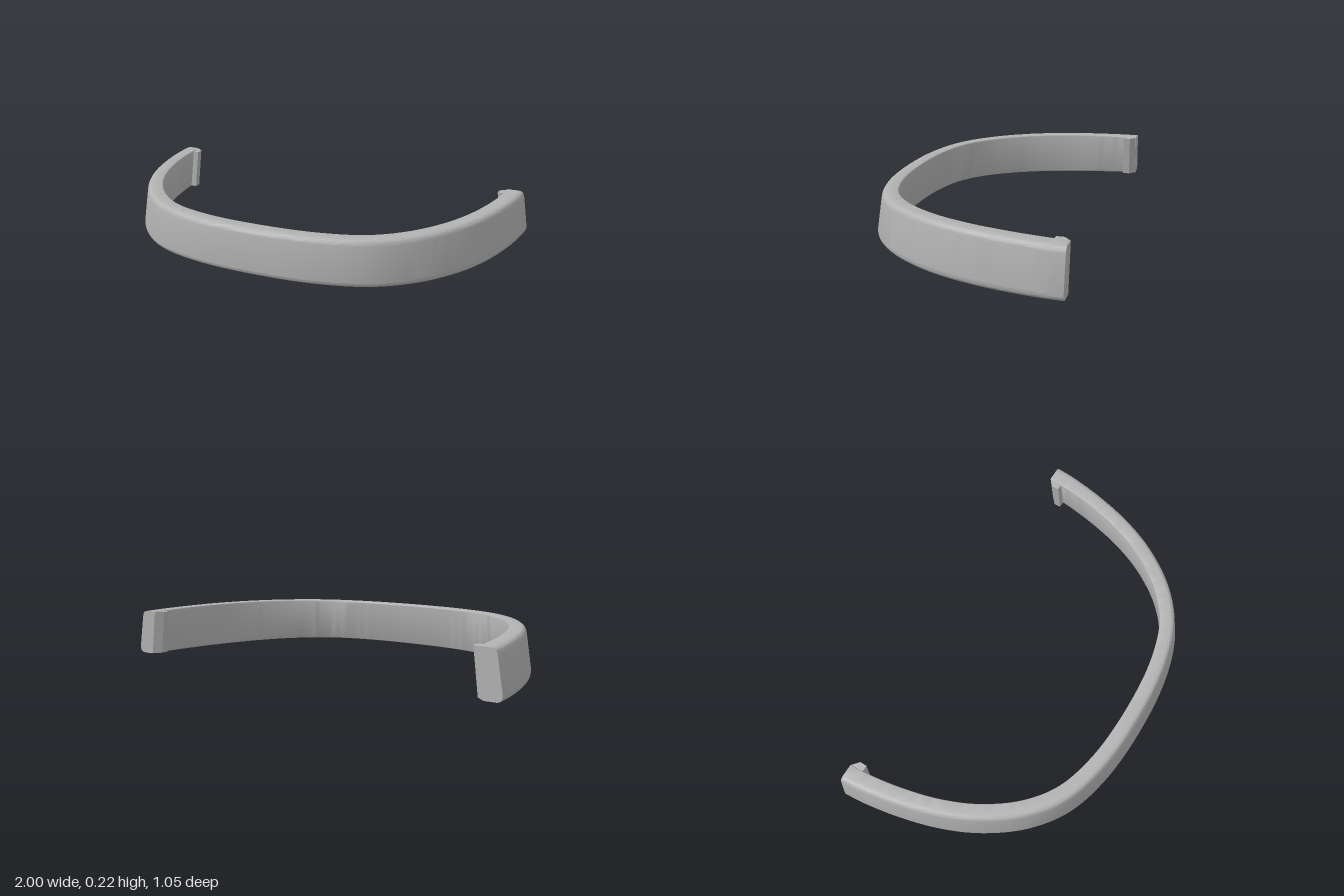
import * as THREE from 'three';
import { toCreasedNormals } from 'three/addons/utils/BufferGeometryUtils.js';

const LEAN = 0.025, TOP = 0.217, BOTTOM = 0.008, END = -0.525;

// Cross-section: x is the distance inward from the outer outline, y is height
function bandSection() {
  const s = new THREE.Shape();
  s.moveTo(0.001, 0.04);
  s.bezierCurveTo(0, 0.018, 0.008, BOTTOM, 0.028, BOTTOM);
  s.lineTo(0.07, BOTTOM);
  s.quadraticCurveTo(0.077, BOTTOM, 0.078, 0.016);
  s.lineTo(0.1, 0.21);
  s.quadraticCurveTo(0.1, TOP, 0.094, TOP);
  s.lineTo(0.052, TOP);
  s.bezierCurveTo(0.034, TOP, 0.026, 0.207, 0.023, 0.187);
  s.closePath();
  const pts = s.getPoints(8);
  pts.pop(); // the closing point repeats the first
  return pts;
}

// Outer outline, from the right end round the front to the left end
function outline() {
  const half = [[1, END], [0.994, -0.44], [0.962, -0.25], [0.904, -0.045], [0.82, 0.135],
    [0.69, 0.308], [0.525, 0.432], [0.3, 0.502]];
  const pts = [
    ...half.map(([x, z]) => new THREE.Vector3(-x, 0, z)),
    new THREE.Vector3(0, 0, 0.525),
    ...half.slice().reverse().map(([x, z]) => new THREE.Vector3(x, 0, z)),
  ];
  return new THREE.CatmullRomCurve3(pts);
}

// Sweep the section along the outline, with square-cut ends
function bandGeometry() {
  const section = bandSection(), curve = outline();
  const n = section.length, steps = 128;
  const pos = [], index = [];
  for (let i = 0; i <= steps; i++) {
    const p = curve.getPointAt(i / steps), t = curve.getTangentAt(i / steps);
    const atEnd = i === 0 || i === steps;
    const nx = atEnd ? -Math.sign(p.x) : t.z, nz = atEnd ? 0 : -t.x;
    const side = Math.min(1, Math.max(0, 0.5 - p.z));
    const thick = 1 + 0.12 * side * side;
    const bow = 0.005 * Math.max(0, Math.cos((p.z + 0.08) * 2.8));
    for (const q of section) {
      const d = q.x * thick;
      const y = q.y + bow * (q.y > 0.1 ? 1 : -1);
      pos.push(p.x + nx * d, y, Math.max(END, p.z + nz * d));
    }
  }
  for (let i = 0; i < steps; i++) {
    for (let j = 0; j < n; j++) {
      const a = i * n + j, b = i * n + (j + 1) % n, c = a + n, d = b + n;
      index.push(a, b, c, b, d, c);
    }
  }
  // End caps
  const last = steps * n;
  for (const [a, b, c] of THREE.ShapeUtils.triangulateShape(section, [])) {
    index.push(a, c, b, last + a, last + b, last + c);
  }
  const g = new THREE.BufferGeometry();
  g.setAttribute('position', new THREE.Float32BufferAttribute(pos, 3));
  g.setIndex(index);
  return toCreasedNormals(g, 0.6);
}

// Chamfered lip on the inside of an end, leaning with the band
function lipGeometry(side) {
  const plan = [[0.9, END], [0.89, END], [0.855, -0.495], [0.855, -0.46], [0.9, -0.46]];
  const shape = new THREE.Shape(plan.map(([x, z]) => new THREE.Vector2(side * x, -z)));
  const g = new THREE.ExtrudeGeometry(shape, { depth: TOP - BOTTOM - 0.002, bevelEnabled: false });
  g.rotateX(-Math.PI / 2).translate(0, BOTTOM + 0.001, 0);
  const p = g.attributes.position;
  for (let i = 0; i < p.count; i++) {
    p.setX(i, p.getX(i) + side * LEAN * (1 - p.getY(i) / TOP));
  }
  g.computeVertexNormals();
  return g;
}

export function createModel() {
  const grey = new THREE.MeshStandardMaterial({ color: 0xb2b2b2 });
  grey.name = 'grey';
  const model = new THREE.Group();
  model.name = 'bumper';

  const add = (name, geometry) => {
    const mesh = new THREE.Mesh(geometry, grey);
    mesh.name = name;
    model.add(mesh);
  };
  add('bumperBand', bandGeometry());
  add('leftEndLip', lipGeometry(1));
  add('rightEndLip', lipGeometry(-1));
  return model;
}
